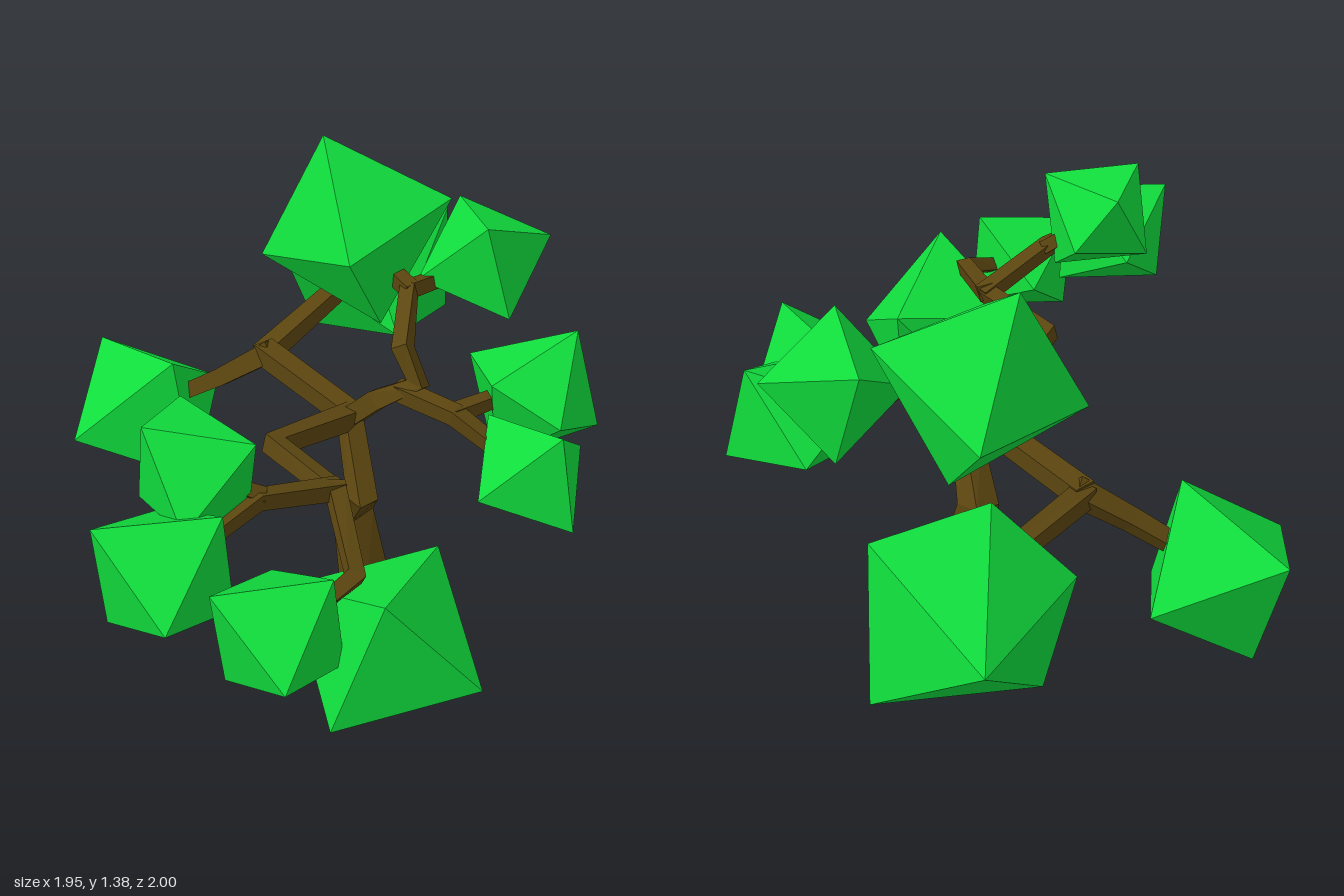
import * as THREE from 'three';
import { ConvexGeometry } from 'three/addons/geometries/ConvexGeometry.js';

const bark = new THREE.MeshStandardMaterial({ color: 0x5c4610, flatShading: true });
const leaf = new THREE.MeshStandardMaterial({ color: 0x10dc3c, flatShading: true });
const V = (a) => new THREE.Vector3(...a);

// Square limb swept along a bent path; each point is [x, y, z, half width].
function limb(name, path) {
  const pts = path.map(V);
  const dirs = pts.slice(1).map((p, i) => p.clone().sub(pts[i]).normalize());
  let side = new THREE.Vector3(0, 0, 1);
  if (Math.abs(dirs[0].z) > 0.8) side.set(1, 0, 0);
  const rings = pts.map((p, i) => {
    const t = (dirs[i] || dirs[i - 1]).clone().add(dirs[i - 1] || dirs[i]).normalize();
    side = side.clone().addScaledVector(t, -side.dot(t)).normalize();
    const up = t.clone().cross(side);
    const h = path[i][3];
    return [[1, 1], [-1, 1], [-1, -1], [1, -1]].map(([a, b]) =>
      p.clone().addScaledVector(side, a * h).addScaledVector(up, b * h));
  });
  const tri = [];
  const quad = (a, b, c, d) => tri.push(a, b, c, a, c, d);
  for (let i = 0; i + 1 < rings.length; i++) {
    for (let k = 0; k < 4; k++) {
      const n = (k + 1) % 4;
      quad(rings[i][k], rings[i][n], rings[i + 1][n], rings[i + 1][k]);
    }
  }
  const end = rings[rings.length - 1];
  quad(...[...rings[0]].reverse());
  quad(...end);
  const geo = new THREE.BufferGeometry().setFromPoints(tri);
  geo.computeVertexNormals();
  const mesh = new THREE.Mesh(geo, bark);
  mesh.name = name;
  return mesh;
}

// Faceted leaf clump: two poles and a belt of four points, or five when split.
function clump(name, centre, radius, pole, apex, split) {
  const p = V(pole).normalize();
  const a = V(apex);
  a.addScaledVector(p, -a.dot(p)).normalize();
  const s = a.clone().cross(p);
  const belt = split ? [0, 90, 150, 210, 270] : [0, 90, 180, 270];
  const pts = [p.clone(), p.clone().negate()];
  for (const deg of belt) {
    const t = THREE.MathUtils.degToRad(deg);
    pts.push(a.clone().multiplyScalar(Math.cos(t)).addScaledVector(s, Math.sin(t)));
  }
  const mesh = new THREE.Mesh(new ConvexGeometry(pts.map((q) => q.multiplyScalar(radius))), leaf);
  mesh.position.set(...centre);
  mesh.name = name;
  return mesh;
}

export function createModel() {
  const tree = new THREE.Group();
  tree.name = 'tree';

  // Trunk and boughs
  tree.add(
    limb('trunk', [[0.125, 0.015, -0.11, 0.06], [0.05, 0.32, -0.11, 0.046],
      [0.195, 0.48, -0.02, 0.034], [0.03, 0.66, -0.11, 0.03]]),
    limb('rightBough', [[0.06, 0.66, -0.11, 0.032], [-0.43, 0.65, -0.145, 0.034]]),
    limb('rightFrontTwig', [[-0.4, 0.66, -0.16, 0.034], [-0.52, 0.55, -0.04, 0.028], [-0.65, 0.45, 0.06, 0.024]]),
    limb('rightBackTwig', [[-0.42, 0.64, -0.13, 0.032], [-0.51, 0.7, -0.54, 0.028], [-0.55, 0.68, -0.66, 0.024]]),
    limb('frontBough', [[0.04, 0.66, -0.12, 0.032], [0.11, 0.76, 0.25, 0.029], [0.41, 0.77, 0.27, 0.025]]),
    limb('frontTwig', [[0.4, 0.77, 0.25, 0.026], [0.375, 0.85, 0.52, 0.024], [0.4, 0.82, 0.75, 0.02]]),
    limb('upperFrontTwig', [[0.375, 0.85, 0.5, 0.022], [0.3, 0.92, 0.62, 0.018]]),
    limb('leftFrontTwig', [[0.39, 0.78, 0.26, 0.025], [0.65, 0.7, 0.41, 0.025], [0.64, 0.65, 0.55, 0.02]]),
    limb('backBough', [[0.03, 0.65, -0.11, 0.03], [0.12, 0.75, -0.14, 0.03], [0.2, 0.81, -0.23, 0.028],
      [0.14, 0.91, -0.22, 0.026], [-0.01, 0.98, -0.38, 0.025], [-0.01, 0.97, -0.55, 0.022]]),
    limb('upperBackTwig', [[-0.0, 0.98, -0.38, 0.024], [-0.2, 1.03, -0.39, 0.02]]),
    limb('leftBackTwig', [[0.15, 0.78, -0.19, 0.026], [0.36, 0.78, -0.23, 0.025], [0.55, 0.69, -0.29, 0.02]]),
    limb('innerBackTwig', [[0.35, 0.78, -0.22, 0.024], [0.36, 0.76, -0.45, 0.02]]),
  );

  // Leaf clumps: centre, radius, pole direction, apex direction, split belt
  const clumps = [
    [[-0.725, 0.39, 0.115], 0.294, [0, 0, 1], [-0.245, 0.153, 0], false],
    [[-0.26, 1.09, -0.383], 0.31, [0.2, 0.105, -0.22], [-0.095, 0.29, 0.05], true],
    [[-0.563, 0.67, -0.765], 0.33, [-0.274, 0.08, -0.165], [0.097, -0.213, -0.235], true],
    [[0.709, 0.488, 0.35], 0.3, [-0.065, 0.147, -0.25], [0.12, 0.257, 0.11], true],
    [[0.058, 1.03, -0.63], 0.217, [0.095, 0.05, -0.19], [0.1, 0.17, 0.087], false],
    [[0.383, 0.72, -0.55], 0.238, [0.036, 0.197, -0.122], [0.117, -0.13, -0.175], true],
    [[0.603, 0.67, -0.305], 0.212, [0, 0, 1], [0.114, 0.185, 0], false],
    [[0.283, 0.955, 0.65], 0.212, [0.147, 0.125, -0.089], [0.13, -0.063, 0.152], true],
    [[0.625, 0.63, 0.655], 0.228, [0.184, -0.02, 0.128], [-0.1, 0.15, 0.155], false],
    [[0.377, 0.774, 0.835], 0.24, [0.194, -0.02, 0.139], [-0.084, 0.156, 0.16], false],
  ];
  clumps.forEach((c, i) => tree.add(clump(`leafClump${i + 1}`, ...c)));
  return tree;
}
